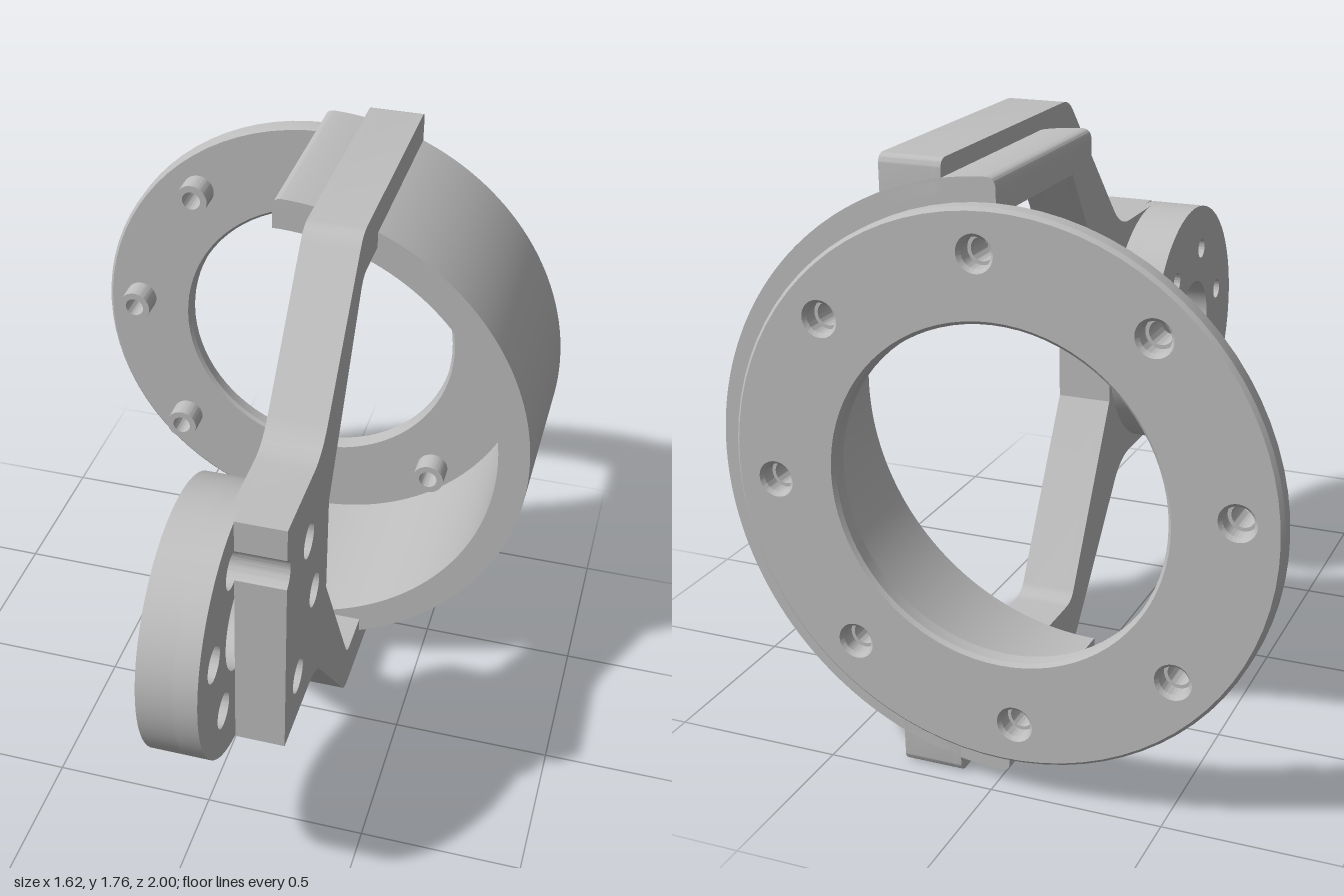
import * as THREE from 'three';
import { toCreasedNormals } from 'three/addons/utils/BufferGeometryUtils.js';

const CY = 0.88;        // shared height of the ring and disc axes
const RX = -0.035;      // x of the ring axis
const DZ = 0.6;         // z of the disc axis

export function createModel() {
  const model = new THREE.Group();
  const metal = new THREE.MeshStandardMaterial({ color: 0xbfbfbf });
  metal.name = 'plain grey metal';

  const add = (name, geometry) => {
    const mesh = new THREE.Mesh(toCreasedNormals(geometry, 0.5), metal);
    mesh.name = name;
    model.add(mesh);
  };
  const circle = (x, y, r, Type = THREE.Path) => new Type().absarc(x, y, r, 0, Math.PI * 2);
  const boltCircle = (x, y, r, count, degrees) => Array.from({ length: count }, (_, i) => {
    const a = THREE.MathUtils.degToRad(degrees + i * 360 / count);
    return [x + r * Math.cos(a), y + r * Math.sin(a)];
  });
  const extrude = (shape, depth, options = {}) => new THREE.ExtrudeGeometry(shape,
    { depth, bevelEnabled: false, curveSegments: 40, ...options });
  // Shapes drawn in (-z, y), extruded along x from x0 to x1
  const sideways = (shape, x0, x1) =>
    extrude(shape, x1 - x0).rotateY(Math.PI / 2).translate(x0, 0, 0);

  // Flange ring with chamfered edges and eight bolt holes
  const bolts = boltCircle(RX, CY, 0.66, 8, -3.5);
  const flange = circle(RX, CY, 0.78, THREE.Shape);
  flange.holes.push(circle(RX, CY, 0.475));
  bolts.forEach(([x, y]) => flange.holes.push(circle(x, y, 0.042)));
  const c = 0.01;
  add('flangeRing', extrude(flange, 0.06 - 2 * c, {
    bevelEnabled: true, bevelThickness: c, bevelSize: c, bevelOffset: -c, bevelSegments: 1,
  }).translate(0, 0, -1 + c));

  // Hollow bosses behind the bolt holes
  bolts.forEach(([x, y]) => {
    const boss = circle(x, y, 0.055, THREE.Shape);
    boss.holes.push(circle(x, y, 0.032));
    add('flangeBoss', extrude(boss, 0.09).translate(0, 0, -0.95));
  });

  // Half-cylinder shell with rounded outer corners
  const ri = 0.745, ro = 0.845, q = Math.PI / 2, t = 0.03;
  const shell = new THREE.Shape();
  shell.moveTo(RX, CY - ro + t);
  shell.quadraticCurveTo(RX, CY - ro, RX + t, CY - ro);
  shell.absarc(RX, CY, ro, -q + t / ro, q - t / ro, false);
  shell.quadraticCurveTo(RX, CY + ro, RX, CY + ro - t);
  shell.lineTo(RX, CY + ri);
  shell.absarc(RX, CY, ri, q, -q, true);
  shell.closePath();
  add('halfShell', extrude(shell, 0.635).translate(0, 0, -0.95));

  // Upper fork arm outline, from the crotch out to the tip and back to the head
  const arm = new THREE.Path();
  arm.moveTo(-0.2, CY);
  arm.lineTo(-0.2, 1.045);
  arm.lineTo(0.12, 1.58);
  arm.quadraticCurveTo(0.14, 1.61, 0.18, 1.61);
  arm.lineTo(0.95, 1.61);
  arm.lineTo(0.95, 1.73);
  arm.quadraticCurveTo(0.95, 1.76, 0.92, 1.76);
  arm.lineTo(0.16, 1.76);
  arm.quadraticCurveTo(0.115, 1.76, 0.085, 1.724);
  arm.lineTo(-0.245, 1.345);
  arm.quadraticCurveTo(-0.302, 1.28, -0.385, 1.28);
  arm.lineTo(-DZ, 1.28);
  const upper = arm.getPoints(10);
  const flip = (points) => points.map((p) => new THREE.Vector2(p.x, 2 * CY - p.y));

  // Fork plate: both arms and the head, with a bolt groove in the head's edge
  const groove = new THREE.Path().absarc(-0.68, 1.127, 0.055, 1.198, -1.198, true).getPoints(16);
  const fork = new THREE.Shape([
    ...upper,
    new THREE.Vector2(-0.66, 1.28),
    ...groove,
    new THREE.Vector2(-0.66, 0.48),
    ...flip(upper).reverse().slice(0, -1),
  ]);
  const discBolts = boltCircle(-DZ, CY, 0.257, 6, 48);
  discBolts.filter(([u]) => u > -0.58).forEach(([u, y]) => fork.holes.push(circle(u, y, 0.055)));
  add('forkPlate', sideways(fork, 0.14, 0.29));

  // Inner layer of each arm, cut round to seat the disc
  const seat = new THREE.Path().absarc(-DZ, CY, 0.4, q, 0, true).getPoints(32);
  const layer = [...upper, ...seat.slice(1, -1)];
  add('upperArmInnerLayer', sideways(new THREE.Shape(layer), 0.115, 0.14));
  add('lowerArmInnerLayer', sideways(new THREE.Shape(flip(layer)), 0.115, 0.14));

  // Mounting disc: narrow bolt holes on the inner side, counterbores on the fork side
  const disc = (holeRadius) => {
    const shape = circle(-DZ, CY, 0.4, THREE.Shape);
    shape.holes.push(circle(-DZ, CY, 0.145));
    discBolts.forEach(([u, y]) => shape.holes.push(circle(u, y, holeRadius)));
    return shape;
  };
  add('mountingDisc', sideways(disc(0.033), RX, 0.07));
  add('mountingDiscCounterbore', sideways(disc(0.055), 0.07, 0.14));

  return model;
}
